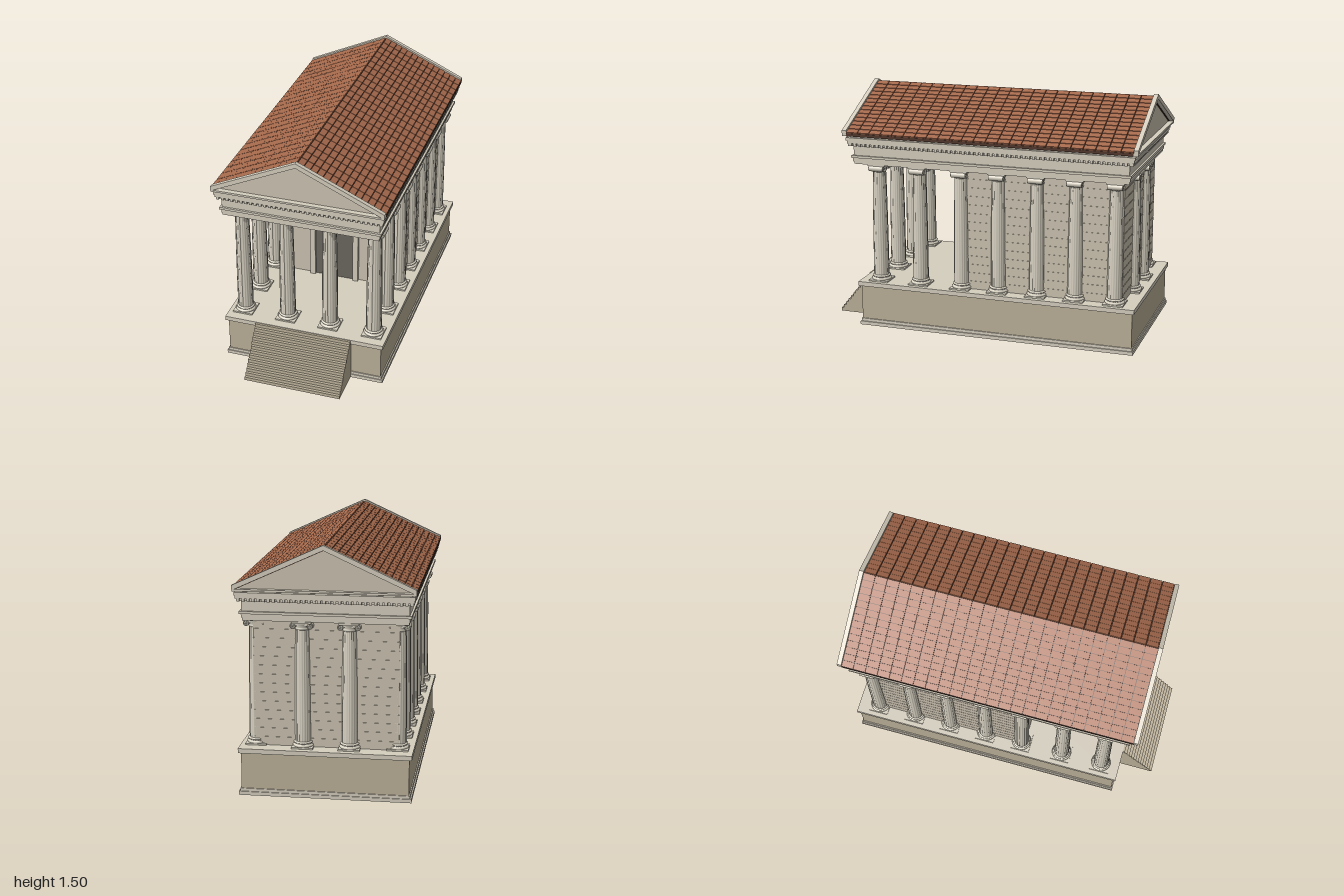
import * as THREE from 'three';
import { mergeGeometries } from 'three/addons/utils/BufferGeometryUtils.js';

const mat = (color, flatShading = false) => new THREE.MeshStandardMaterial({ color, flatShading });
const STONE = mat(0xd6cfbf), WALL = mat(0xcdc4b2), PODIUM = mat(0xbcb19a), COLUMN = mat(0xd8d2c2);
const TILE = mat(0xa66a4d), TILE_GAP = mat(0x4f3529), DOOR = mat(0x6b665f);
const MID = -0.07; // centre of the upper building along z

// Box geometry given by its limits
function block(x0, x1, y0, y1, z0, z1) {
  return new THREE.BoxGeometry(x1 - x0, y1 - y0, z1 - z0)
    .translate((x0 + x1) / 2, (y0 + y1) / 2, (z0 + z1) / 2);
}

// Outline in x/y, extruded from z0 to z1
function prism(points, z0, z1) {
  const shape = new THREE.Shape(points.map(p => new THREE.Vector2(...p)));
  return new THREE.ExtrudeGeometry(shape, { depth: z1 - z0, bevelEnabled: false }).translate(0, 0, z0);
}

// Shaft with 20 flutes and a slight taper towards the top
function flutedShaft(y0, y1) {
  const geo = new THREE.CylinderGeometry(1, 1, y1 - y0, 80, 6, true);
  const p = geo.attributes.position;
  for (let i = 0; i < p.count; i++) {
    const t = p.getY(i) / (y1 - y0) + 0.5;
    const a = Math.atan2(p.getZ(i), p.getX(i));
    const r = 0.0485 - 0.007 * t * t - 0.0028 * Math.abs(Math.sin(a * 10));
    p.setX(i, Math.cos(a) * r);
    p.setZ(i, Math.sin(a) * r);
  }
  geo.computeVertexNormals();
  return geo.translate(0, (y0 + y1) / 2, 0);
}

// Square plinth, moulded base, fluted shaft and scrolled capital
function columnGeometry() {
  const base = [[0.06, 0.294], [0.063, 0.299], [0.06, 0.305], [0.052, 0.307], [0.051, 0.312],
    [0.056, 0.314], [0.057, 0.318], [0.054, 0.323], [0.047, 0.325]];
  const neck = [[0.041, 0.99], [0.046, 0.996], [0.046, 1.002], [0.042, 1.006], [0.05, 1.026]];
  const lathe = pts => new THREE.LatheGeometry(pts.map(p => new THREE.Vector2(...p)), 32);
  const parts = [
    block(-0.063, 0.063, 0.283, 0.294, -0.063, 0.063),
    lathe(base), flutedShaft(0.322, 0.996), lathe(neck),
    block(-0.052, 0.052, 1.016, 1.031, -0.044, 0.044),
    block(-0.058, 0.058, 1.031, 1.042, -0.055, 0.055),
  ];
  for (const s of [-1, 1]) {
    parts.push(new THREE.CylinderGeometry(0.018, 0.018, 0.09, 20).rotateX(Math.PI / 2).translate(s * 0.05, 1.015, 0));
    for (const e of [-1, 1]) { // raised scroll rim and eye
      parts.push(new THREE.TorusGeometry(0.014, 0.003, 6, 20).translate(s * 0.05, 1.015, e * 0.045));
      parts.push(new THREE.SphereGeometry(0.005, 10, 6).translate(s * 0.05, 1.015, e * 0.046));
    }
  }
  return mergeGeometries(parts);
}

export function createModel() {
  const model = new THREE.Group();
  const add = (name, geometry, material) => {
    const mesh = new THREE.Mesh(geometry, material);
    mesh.name = name;
    model.add(mesh);
    return mesh;
  };

  // Podium with stepped foot and projecting cap
  add('podium', block(-0.492, 0.492, 0, 0.26, -0.978, 0.765), PODIUM);
  add('podiumFoot', mergeGeometries([
    block(-0.507, 0.507, 0, 0.022, -0.99, 0.775),
    block(-0.499, 0.499, 0.022, 0.04, -0.984, 0.77),
  ]), STONE);
  add('podiumCap', block(-0.508, 0.508, 0.257, 0.285, -0.992, 0.782), STONE);

  // Front stairs: stepped side outline extruded across the width
  const steps = 13, rise = 0.281 / steps, tread = 0.222 / steps;
  const outline = [[0.76, 0], [1, 0]];
  for (let i = 0; i < steps; i++) {
    outline.push([1 - i * tread, (i + 1) * rise], [1 - (i + 1) * tread, (i + 1) * rise]);
  }
  outline.push([0.76, 0.281]);
  add('stairs', prism(outline, -0.305, 0.305).rotateY(-Math.PI / 2), PODIUM);

  // Chamber walls with raised stone courses on the sides and back
  add('chamberWalls', block(-0.422, 0.422, 0.28, 1.045, -0.898, 0.145), WALL);
  const courses = 14, courseH = 0.757 / courses;
  add('stoneCourses', mergeGeometries(Array.from({ length: courses }, (_, i) => {
    const y = 0.285 + i * courseH;
    return block(-0.425, 0.425, y + 0.002, y + courseH - 0.002, -0.901, 0.144);
  })), WALL);

  // Doorway
  add('door', block(-0.127, 0.127, 0.285, 0.884, 0.14, 0.15), DOOR);
  add('doorFrame', mergeGeometries([
    block(-0.16, -0.126, 0.285, 0.885, 0.14, 0.168),
    block(0.126, 0.16, 0.285, 0.885, 0.14, 0.168),
    block(-0.175, 0.175, 0.883, 0.91, 0.14, 0.188),
  ]), STONE);

  // Columns: porch, side and back rows
  const places = [[-0.137, 0.66], [0.137, 0.66], [-0.137, -0.892], [0.137, -0.892]];
  for (const z of [0.66, 0.393, 0.12, -0.12, -0.366, -0.607, -0.853]) places.push([-0.416, z], [0.416, z]);
  const column = columnGeometry();
  for (const [x, z] of places) add('column', column, COLUMN).position.set(x, 0, z);

  // Entablature layers: half width, half depth, bottom, top
  const layers = [
    ['lowerArchitrave', 0.48, 0.87, 1.04, 1.058], ['architrave', 0.485, 0.875, 1.056, 1.08],
    ['architraveBand', 0.495, 0.883, 1.08, 1.095], ['frieze', 0.483, 0.87, 1.095, 1.157],
    ['dentilBed', 0.492, 0.882, 1.155, 1.176], ['cornice', 0.512, 0.902, 1.173, 1.192],
    ['corniceLip', 0.517, 0.908, 1.192, 1.21], ['eaveBed', 0.5, 0.885, 1.21, 1.22],
    ['eaveSlab', 0.524, 0.927, 1.22, 1.232],
  ];
  for (const [name, w, d, y0, y1] of layers) add(name, block(-w, w, y0, y1, MID - d, MID + d), STONE);

  // Dentils all round
  const dentils = [];
  for (let i = -17; i <= 17; i++) {
    for (const s of [-1, 1]) dentils.push(new THREE.BoxGeometry(0.016, 0.017, 0.016).translate(i * 0.0292, 1.164, MID + s * 0.889));
  }
  for (let i = -30; i <= 30; i++) {
    for (const s of [-1, 1]) dentils.push(new THREE.BoxGeometry(0.016, 0.017, 0.016).translate(s * 0.499, 1.164, MID + i * 0.0294));
  }
  add('dentils', mergeGeometries(dentils), STONE);

  // Gables and raking trims at both ends
  add('gable', prism([[-0.51, 1.228], [0.51, 1.228], [0, 1.463]], MID - 0.895, MID + 0.895), WALL);
  const chevron = (top, thick) => [[-0.525, top - 0.24 - thick], [0, top - thick], [0.525, top - 0.24 - thick],
    [0.525, top - 0.24], [0, top], [-0.525, top - 0.24]];
  add('frontRake', prism(chevron(1.495, 0.03), 0.83, 0.858), STONE);
  add('backRake', prism(chevron(1.495, 0.03), -0.998, -0.97), STONE);

  // Roof bed and overlapping tiles on both slopes
  add('roofBed', prism(chevron(1.478, 0.018), -0.972, 0.832), TILE_GAP);
  const rows = 14, cols = 24, slope = Math.hypot(0.525, 0.24), angle = Math.atan2(0.24, 0.525);
  const rowL = slope / rows, colW = 1.8 / cols, tiles = [];
  for (let r = 0; r < rows; r++) {
    for (let c = 0; c < cols; c++) {
      for (const turn of [0, Math.PI]) {
        tiles.push(new THREE.BoxGeometry(rowL - 0.003, 0.008, colW - 0.004)
          .rotateZ(0.04).translate((r + 0.5) * rowL, 0.003, (c + 0.5) * colW - 0.9)
          .rotateZ(-angle).rotateY(turn).translate(0, 1.478, MID));
      }
    }
  }
  add('roofTiles', mergeGeometries(tiles), TILE);

  return model;
}
